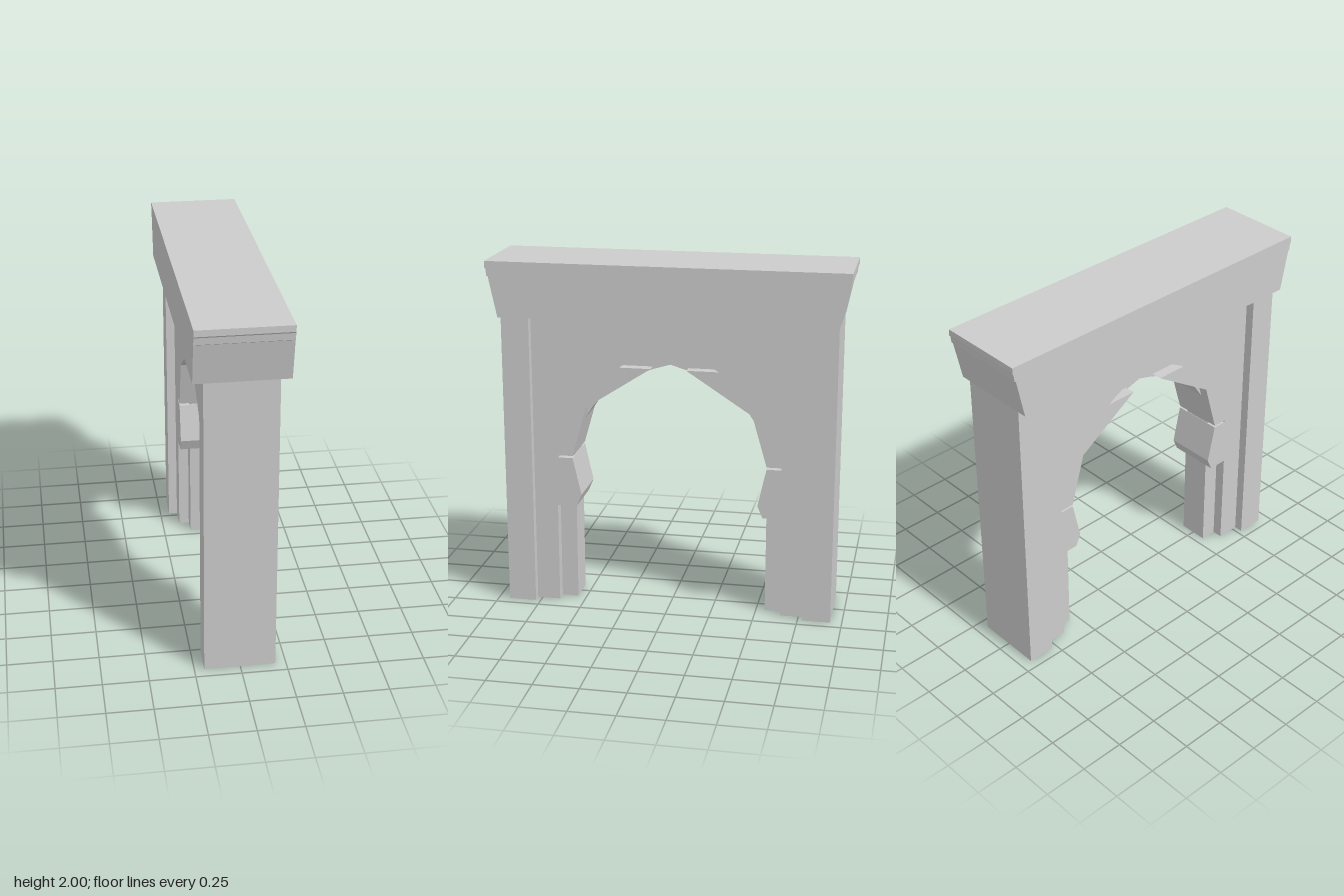
import * as THREE from 'three';

const material = new THREE.MeshStandardMaterial({ color: 0xcccccc, flatShading: true });

// Extrude an outline given as [z, y] points along x, centred on x = 0
function slab(name, points, width) {
  const shape = new THREE.Shape(points.map(([z, y]) => new THREE.Vector2(z, y)));
  const geometry = new THREE.ExtrudeGeometry(shape, { depth: width, bevelEnabled: false });
  geometry.translate(0, 0, -width / 2);
  geometry.rotateY(-Math.PI / 2);
  const mesh = new THREE.Mesh(geometry, material);
  mesh.name = name;
  return mesh;
}

// Complete a half outline (ending on the centre line) with its mirror image
function mirrored(half) {
  const other = half.filter(([z]) => z > 0).reverse().map(([z, y]) => [-z, y]);
  return [...half, ...other];
}

export function createModel() {
  const model = new THREE.Group();
  model.name = 'archGateway';

  // Cornice: tapered block with a small lip at each end
  model.add(slab('cornice', mirrored([
    [0, 1.69], [0.935, 1.69], [0.982, 1.915], [0.99, 1.92], [0.994, 1.957], [1, 1.965], [1, 2], [0, 2],
  ]), 0.5));

  // Wide outer pillars
  for (const side of [1, -1]) {
    const pillar = new THREE.Mesh(new THREE.BoxGeometry(0.388, 1.7, 0.157), material);
    pillar.position.set(-0.002, 0.85, side * 0.8565);
    pillar.name = side > 0 ? 'frontPillar' : 'backPillar';
    model.add(pillar);
  }

  // Facing wall: stepped arch edge, joint slots and a curved recess over the crown
  const arc = [];
  const radius = (0.28 ** 2 + 0.09 ** 2) / (2 * 0.09);
  for (let i = 0; i <= 5; i++) {
    const z = 0.28 * (1 - i / 5);
    arc.push([z, 1.5 - radius + Math.sqrt(radius * radius - z * z)]);
  }
  model.add(slab('archFacing', mirrored([
    [0, 1.7], [0.79, 1.7], [0.79, 0], [0.645, 0], [0.645, 0.58], [0.535, 0.58], [0.505, 0.65],
    [0.553, 0.867], [0.635, 0.867], [0.635, 0.88], [0.553, 0.88], [0.47, 1.17], [0.1, 1.41],
    ...arc,
  ]), 0.29));

  // Thinner core: inner shafts and the ring of the arch
  model.add(slab('archCore', mirrored([
    [0, 1.68], [0.78, 1.68], [0.78, 0], [0.55, 0], [0.55, 0.59], [0.51, 0.655], [0.556, 0.873],
    [0.5, 1.08], [0.44, 1.17], [0.38, 1.232], [0.18, 1.362], [0.1, 1.395], [0, 1.425],
  ]), 0.17));

  return model;
}
